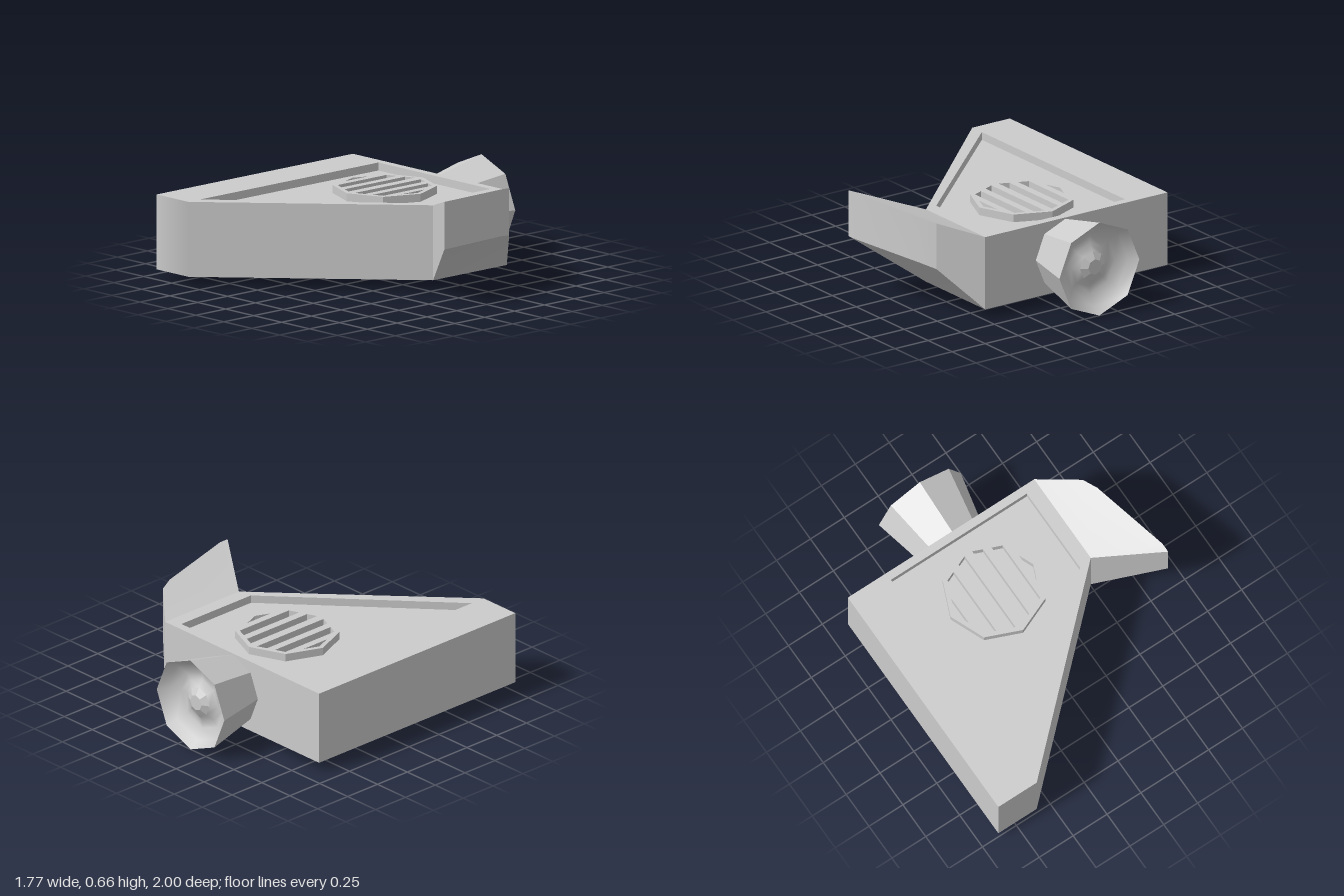
import * as THREE from 'three';
import { toCreasedNormals } from 'three/addons/utils/BufferGeometryUtils.js';

const material = new THREE.MeshStandardMaterial({ color: 0xcccccc });
const BOTTOM = 0.065, TOP = 0.535, DEPTH = 0.05;

// Plan outlines as [x, z] pairs, clockwise from above
const BODY = [[-0.883, -0.645], [0.493, -0.645], [0.493, -0.027], [-0.6, 1], [-0.883, 1]];
const PANEL = [[-0.6, -0.593], [0.403, -0.593], [0.403, -0.01], [-0.6, 0.9]];
const WING = [[0.493, -0.645], [0.72, -0.452], [0.762, -0.355], [0.882, 0.18], [0.882, 0.243], [0.493, -0.027]];
const VENT = { x: -0.112, z: -0.19, outer: 0.32, inner: 0.29 };

const toPoints = (plan) => plan.map(([x, z]) => new THREE.Vector2(x, -z));

// Upright prism from a plan outline, with optional holes
function prism(plan, y0, y1, holes = []) {
  const shape = new THREE.Shape(toPoints(plan).reverse());
  holes.forEach((h) => shape.holes.push(new THREE.Path(toPoints(h))));
  const geo = new THREE.ExtrudeGeometry(shape, { depth: y1 - y0, bevelEnabled: false });
  return geo.rotateX(-Math.PI / 2).translate(0, y0, 0);
}

// Blend the blunt nose softly into the slanted side
function softenNose(geo) {
  const p = geo.attributes.position, n = geo.attributes.normal;
  for (let i = 0; i < p.count; i++) {
    if (n.getZ(i) > 0.9 && p.getZ(i) > 0.99 && p.getX(i) > -0.7) n.setXYZ(i, 0.687, 0, 0.727);
  }
  return geo;
}

function add(parent, name, geo) {
  const mesh = new THREE.Mesh(geo, material);
  mesh.name = name;
  parent.add(mesh);
}

// Octagonal grille cut by slots that follow its rim
function ventGeometry(y0) {
  const { x, z, outer, inner } = VENT;
  const octagon = Array.from({ length: 8 }, (_, i) => {
    const a = i * Math.PI / 4;
    return [x + outer * Math.cos(a), z + outer * Math.sin(a)];
  });
  const half = (d) => d < inner * Math.SQRT1_2
    ? inner - d * 0.414
    : (inner - d) * 2.414;
  const slots = [];
  for (const s of [-1, 1]) {
    for (const [a, b] of [[0.028, 0.09], [0.14, 0.204]]) {
      slots.push([
        [x + s * a, z - half(a)], [x + s * b, z - half(b)],
        [x + s * b, z + half(b)], [x + s * a, z + half(a)],
      ]);
    }
    slots.push([[x + s * 0.25, z - half(0.25)], [x + s * inner, z], [x + s * 0.25, z + half(0.25)]]);
  }
  return prism(octagon, y0, y0 + DEPTH, slots);
}

// Side wing: its top and underside rise with x
function wingGeometry() {
  const rise = [[0.493, BOTTOM, TOP], [0.72, 0.318, 0.615], [0.762, 0.336, 0.63], [0.882, 0.365, 0.663]];
  const geo = prism(WING, 0, 1);
  const p = geo.attributes.position;
  for (let i = 0; i < p.count; i++) {
    const row = rise.find((r) => Math.abs(r[0] - p.getX(i)) < 0.001);
    p.setY(i, p.getY(i) > 0.5 ? row[2] : row[1]);
  }
  return toCreasedNormals(geo, 0.4);
}

// Eight-sided lathe part pointing backwards
function lathe(profile, flat) {
  let geo = new THREE.LatheGeometry(profile.map(([r, d]) => new THREE.Vector2(r, d)), 8);
  if (flat) {
    geo = geo.toNonIndexed();
    geo.computeVertexNormals();
  }
  return geo.rotateX(-Math.PI / 2);
}

export function createModel() {
  const model = new THREE.Group();
  model.name = 'model';

  // Body with a recessed panel on both faces
  const body = new THREE.Group();
  body.name = 'body';
  model.add(body);
  add(body, 'bodyCore', softenNose(prism(BODY, BOTTOM + DEPTH, TOP - DEPTH)));
  for (const [side, y] of [['upper', TOP - DEPTH], ['lower', BOTTOM]]) {
    add(body, side + 'PanelFrame', softenNose(prism(BODY, y, y + DEPTH, [PANEL])));
    add(body, side + 'Vent', ventGeometry(y));
  }

  add(model, 'wing', wingGeometry());

  // Rear nozzle: faceted shell, smooth dished bowl, low hub
  const nozzle = new THREE.Group();
  nozzle.name = 'nozzle';
  nozzle.position.set(-0.112, 0.303, 0);
  model.add(nozzle);
  add(nozzle, 'nozzleShell', lathe([[0.22, 0.63], [0.302, 1]], true));
  add(nozzle, 'nozzleBowl', lathe([[0.302, 1], [0.26, 0.94], [0.19, 0.9], [0.14, 0.9], [0.095, 0.93]], false));
  add(nozzle, 'nozzleHub', lathe([[0.095, 0.93], [0.05, 0.955], [0, 0.955]], true));

  return model;
}
